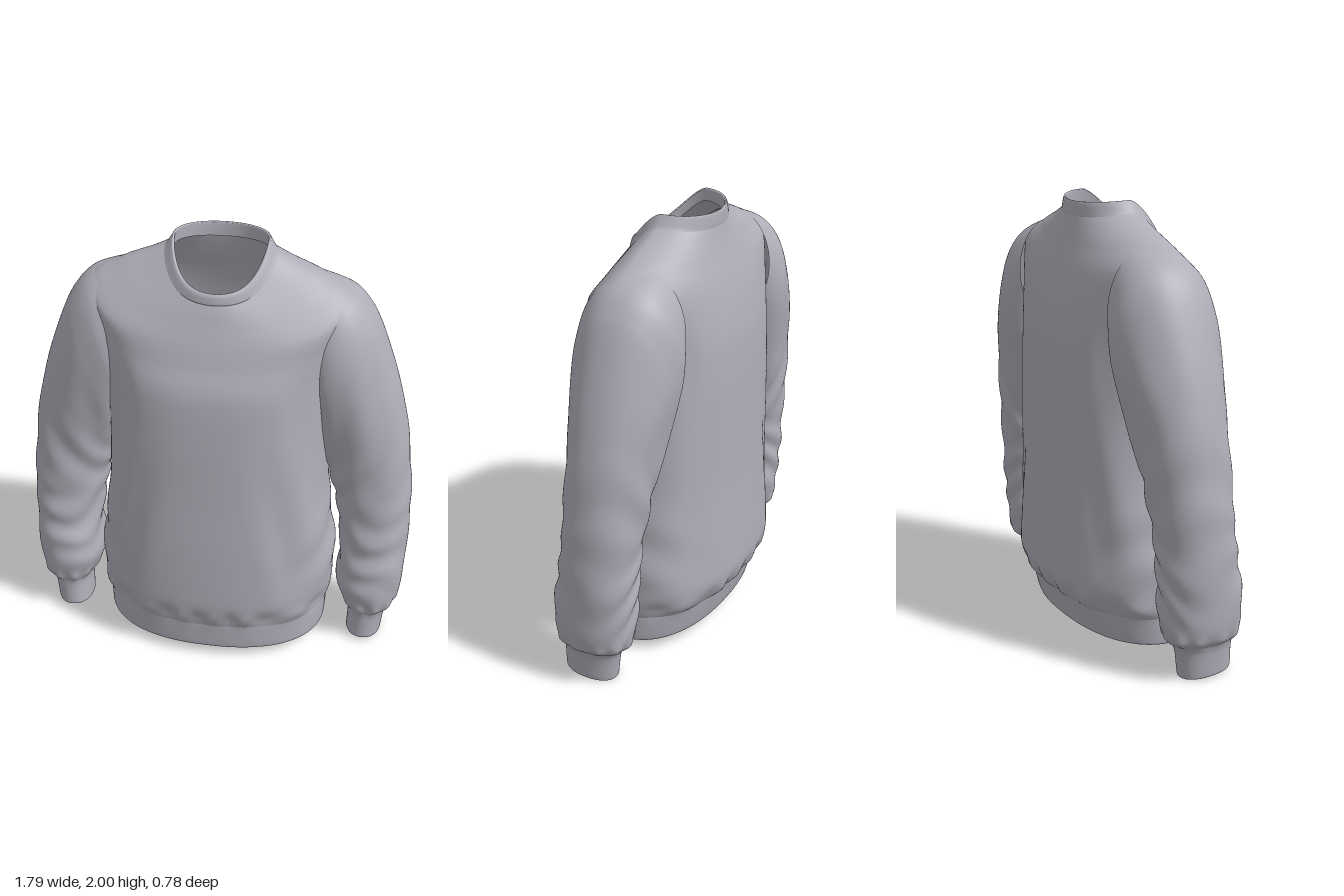
import * as THREE from 'three';

const SEG = 128;

// Monotone interpolation through rows of key values: smooth, without overshoot
function refine(keys, steps) {
  const n = keys.length;
  const slope = (i, k) => {
    if (i === 0 || i === n - 1) return 0;
    const a = keys[i][k] - keys[i - 1][k], b = keys[i + 1][k] - keys[i][k];
    return a * b > 0 ? (2 * a * b) / (a + b) : 0;
  };
  const rows = [];
  for (let i = 0; i < n - 1; i++) {
    for (let s = 0; s < steps; s++) {
      const t = s / steps, t2 = t * t, t3 = t2 * t;
      rows.push(keys[i].map((v, k) =>
        (2 * t3 - 3 * t2 + 1) * v + (t3 - 2 * t2 + t) * slope(i, k) +
        (3 * t2 - 2 * t3) * keys[i + 1][k] + (t3 - t2) * slope(i + 1, k)));
    }
  }
  rows.push(keys[n - 1]);
  return rows;
}

// Closed rings joined into a smooth skin; point(row, angle) gives [x, y, z]
function loft(rows, point, flip) {
  const pos = [], idx = [];
  rows.forEach((row, r) => {
    for (let c = 0; c < SEG; c++) {
      pos.push(...point(row, (c / SEG) * Math.PI * 2));
      if (r === rows.length - 1) continue;
      const a = r * SEG + c, b = r * SEG + (c + 1) % SEG, d = a + SEG, e = b + SEG;
      if (flip) idx.push(a, b, d, b, e, d);
      else idx.push(a, d, b, b, d, e);
    }
  });
  const g = new THREE.BufferGeometry();
  g.setAttribute('position', new THREE.Float32BufferAttribute(pos, 3));
  g.setIndex(idx);
  g.computeVertexNormals();
  return g;
}

const sq = (v, p) => Math.sign(v) * Math.pow(Math.abs(v), p);
const bump = (v, mid, width) => Math.exp(-(((v - mid) / width) ** 2));

// Torso rings: half width, front z, back z, side y, front y, back y, squareness
const hemKeys = [
  [0.49, 0.335, -0.27, 0.16, 0.16, 0.16, 0.88],
  [0.505, 0.345, -0.28, 0.065, 0.06, 0.065, 0.88],
  [0.515, 0.358, -0.29, 0.056, 0.052, 0.058, 0.88],
  [0.522, 0.364, -0.298, 0.07, 0.066, 0.07, 0.88],
  [0.526, 0.367, -0.328, 0.19, 0.185, 0.19, 0.87],
];
const bodyKeys = [
  [0.526, 0.367, -0.328, 0.19, 0.185, 0.19, 0.87],
  [0.538, 0.378, -0.36, 0.23, 0.225, 0.23, 0.86],
  [0.55, 0.394, -0.386, 0.33, 0.33, 0.33, 0.84],
  [0.535, 0.386, -0.376, 0.58, 0.58, 0.58, 0.82],
  [0.51, 0.367, -0.368, 0.88, 0.88, 0.88, 0.81],
  [0.497, 0.35, -0.368, 1.18, 1.18, 1.18, 0.8],
  [0.502, 0.328, -0.358, 1.42, 1.4, 1.42, 0.8],
  [0.54, 0.28, -0.328, 1.64, 1.53, 1.6, 0.82],
  [0.572, 0.247, -0.298, 1.772, 1.62, 1.71, 0.85],
  [0.45, 0.212, -0.264, 1.852, 1.7, 1.81, 0.93],
  [0.32, 0.188, -0.243, 1.908, 1.755, 1.88, 0.98],
  [0.245, 0.172, -0.233, 1.945, 1.785, 1.92, 1],
];
const collarKeys = [
  [0.245, 0.172, -0.233, 1.945, 1.785, 1.92, 1],
  [0.236, 0.174, -0.234, 1.955, 1.79, 1.93, 1],
  [0.217, 0.168, -0.233, 1.985, 1.82, 1.97, 1],
  [0.208, 0.158, -0.228, 1.998, 1.83, 1.985, 1],
  [0.2, 0.147, -0.22, 1.993, 1.826, 1.981, 1],
  [0.205, 0.148, -0.217, 1.94, 1.785, 1.92, 1],
];

function torsoPoint([w, zf, zb, ys, yf, yb, p], a) {
  const c = Math.cos(a), s = Math.sin(a), mid = (zf + zb) / 2 - 0.02;
  const front = s > 0;
  // Rounded scoop towards the front, gentle dip towards the back
  const scoop = 0.4 * s + 0.6 * s * s * (3 - 2 * s);
  const y = ys + (front ? (yf - ys) * scoop : (yb - ys) * Math.pow(-s, 1.6));
  // Gathers above the hem, long diagonal drapes and bunching at the flanks
  const gather = 0.01 * bump(y, 0.235, 0.045) * Math.sin(c * 21 + Math.sin(c * 5) * 2);
  const drape = 0.007 * bump(y, 0.72, 0.36) * Math.sin(Math.abs(c) * 13 + y * 5) * Math.min(1, c * c * 3);
  const flank = 0.007 * bump(y, 0.5, 0.22) * Math.sin(y * 23 - Math.abs(c) * 9) * c ** 4;
  const pit = -0.008 * bump(y, 1.38, 0.2) * bump(Math.abs(c), 0.72, 0.12);
  const k = 1 + (gather + drape + flank + pit) / 0.4;
  const depth = front ? (zf - mid) * Math.pow(s, p) : (zb - mid) * Math.pow(-s, p * 0.92);
  return [w * sq(c, p) * k, y, mid + depth * k];
}

// Sleeve rings: outer x, outer y, inner x, inner y, front z, back z
const sleeveKeys = [
  [0.43, 1.845, 0.38, 1.34, 0.12, -0.28],
  [0.575, 1.79, 0.42, 1.18, 0.16, -0.315],
  [0.662, 1.698, 0.45, 1.05, 0.155, -0.305],
  [0.755, 1.48, 0.48, 0.95, 0.135, -0.283],
  [0.826, 1.24, 0.505, 0.88, 0.12, -0.26],
  [0.872, 0.98, 0.53, 0.78, 0.112, -0.238],
  [0.894, 0.72, 0.563, 0.63, 0.122, -0.218],
  [0.894, 0.49, 0.583, 0.46, 0.15, -0.207],
  [0.885, 0.33, 0.57, 0.335, 0.175, -0.198],
  [0.865, 0.205, 0.6, 0.21, 0.165, -0.185],
  [0.828, 0.165, 0.632, 0.165, 0.145, -0.145],
];
const cuffKeys = [
  [0.828, 0.165, 0.632, 0.165, 0.145, -0.145],
  [0.815, 0.13, 0.64, 0.13, 0.14, -0.125],
  [0.802, 0.022, 0.636, 0.02, 0.143, -0.106],
  [0.798, 0.01, 0.639, 0.01, 0.14, -0.103],
  [0.79, 0.012, 0.646, 0.012, 0.133, -0.096],
  [0.79, 0.1, 0.655, 0.1, 0.125, -0.1],
];

function sleevePoint(side) {
  return ([xo, yo, xi, yi, zf, zb], a) => {
    const c = Math.cos(a), s = Math.sin(a), mid = (zf + zb) / 2;
    const cy = (yo + yi) / 2;
    // The cuff opening is slightly lower at the back
    const y = cy + (yo - yi) / 2 * c + 0.01 * s * bump(cy, 0, 0.07);
    // Crumples around the elbow and forearm, softer folds on the upper arm
    const inward = 1 - 0.55 * Math.max(0, c);
    const fore = 0.008 * bump(cy, 0.5, 0.24) * Math.sin(cy * 33 + c * 3.5 + Math.sin(a * 2 + cy * 7) * 2);
    const elbow = 0.007 * bump(cy, 0.9, 0.16) * Math.sin(cy * 24 - c * 3 + s * 1.5);
    const upper = 0.006 * bump(cy, 1.2, 0.16) * Math.sin(a * 5 + cy * 6) * (1 - c * c);
    const gather = 0.006 * bump(cy, 0.2, 0.035) * Math.sin(a * 11);
    const k = 1 + ((fore + elbow) * inward + upper + gather) / 0.17;
    return [
      side * ((xo + xi) / 2 + (xo - xi) / 2 * sq(c, 0.92) * k),
      y,
      mid + (zf - zb) / 2 * sq(s, 0.9) * k,
    ];
  };
}

export function createModel() {
  const model = new THREE.Group();
  model.name = 'sweatshirt';
  const fabric = new THREE.MeshStandardMaterial({ color: 0xaeaeb8, side: THREE.DoubleSide });
  fabric.name = 'grey fabric';

  const add = (name, keys, steps, point, flip) => {
    const mesh = new THREE.Mesh(loft(refine(keys, steps), point, flip), fabric);
    mesh.name = name;
    model.add(mesh);
  };

  // Torso with ribbed hem and neck bands
  add('hemBand', hemKeys, 4, torsoPoint, false);
  add('body', bodyKeys, 10, torsoPoint, false);
  add('collar', collarKeys, 4, torsoPoint, false);

  // Sleeves and cuffs
  for (const [name, side] of [['left', 1], ['right', -1]]) {
    add(name + 'Sleeve', sleeveKeys, 10, sleevePoint(side), side > 0);
    add(name + 'Cuff', cuffKeys, 4, sleevePoint(side), side > 0);
  }
  return model;
}
